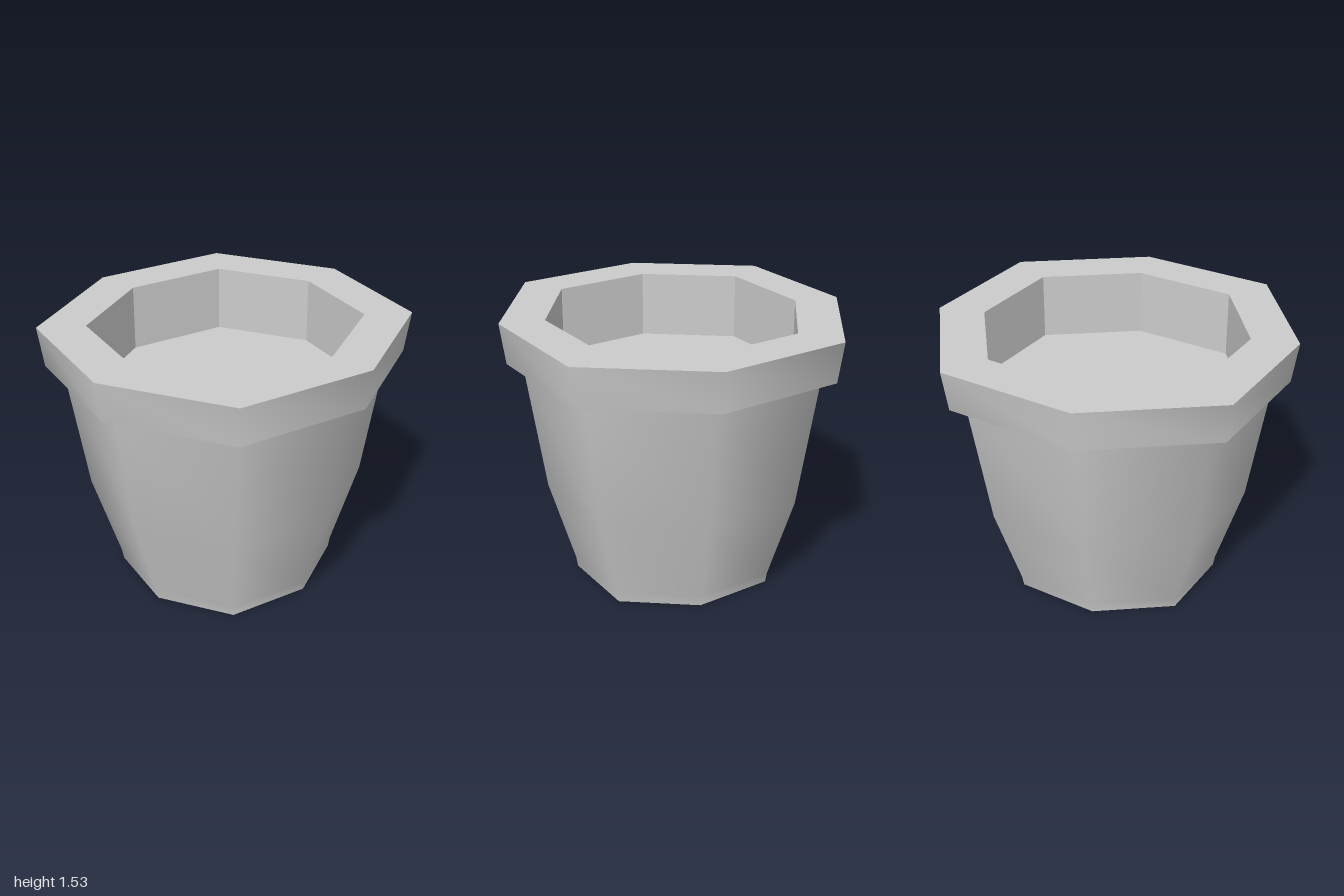
import * as THREE from 'three';
import { toCreasedNormals } from 'three/addons/utils/BufferGeometryUtils.js';

const material = new THREE.MeshStandardMaterial({ color: 0xcccccc });

// Eight-sided lathe: slightly narrow in x, with the diagonal corners pushed out
function octagonLathe(name, profile, creaseAngle) {
  const points = profile.map(([r, y]) => new THREE.Vector2(r, y));
  const geometry = new THREE.LatheGeometry(points, 8);
  const pos = geometry.attributes.position;
  for (let i = 0; i < pos.count; i++) {
    const x = pos.getX(i), z = pos.getZ(i);
    const push = Math.min(Math.abs(x), Math.abs(z)) > 1e-4 ? 1.05 : 1;
    pos.setX(i, x * push * 0.96);
    pos.setZ(i, z * push);
  }
  const mesh = new THREE.Mesh(toCreasedNormals(geometry, creaseAngle), material);
  mesh.name = name;
  return mesh;
}

export function createModel() {
  const group = new THREE.Group();
  group.name = 'plantPot';

  // Tapered body with a closed base
  group.add(octagonLathe('body', [
    [0, 0], [0.605, 0], [0.615, 0.06], [0.765, 0.55], [0.88, 1.3],
  ], 1.1));

  // Overhanging rim: underside, flared side, flat top
  group.add(octagonLathe('rim', [
    [0.88, 1.3], [0.968, 1.3], [1, 1.53], [0.74, 1.53],
  ], 1.1));

  // Straight faceted inner wall and soil surface
  group.add(octagonLathe('innerWall', [[0.74, 1.53], [0.74, 1.15]], 0.2));
  group.add(octagonLathe('soil', [[0.74, 1.15], [0, 1.15]], 0.2));

  return group;
}
